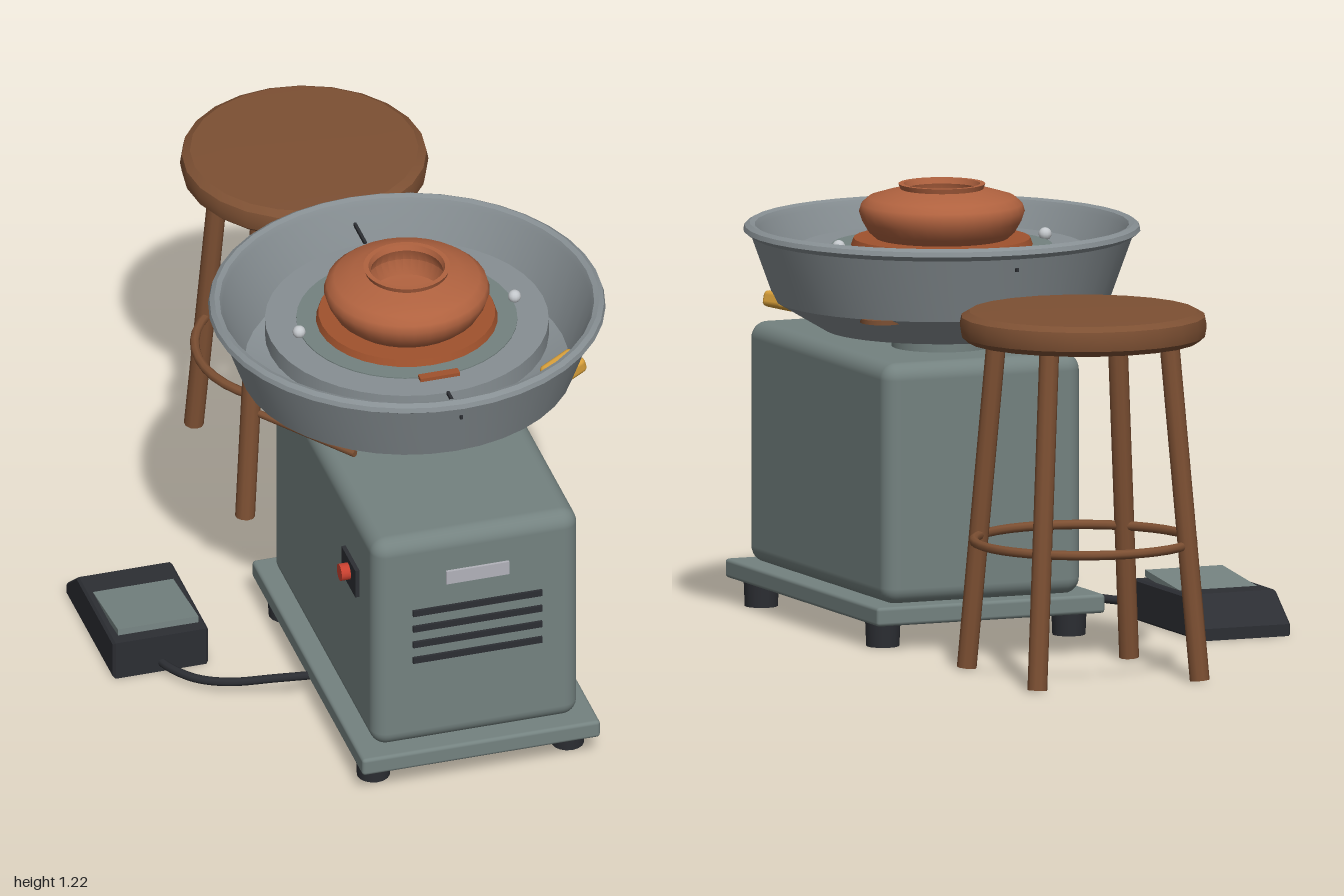
import * as THREE from 'three';
import { RoundedBoxGeometry } from 'three/addons/geometries/RoundedBoxGeometry.js';
import { toCreasedNormals } from 'three/addons/utils/BufferGeometryUtils.js';

const mat = (color) => new THREE.MeshStandardMaterial({ color });
const M = {
  body: mat(0x748280), pan: mat(0x878f93), wood: mat(0x7d5033), clay: mat(0xb0623f), slip: mat(0xa0522d),
  dark: mat(0x2c2e33), plate: mat(0xb2b2ba), red: mat(0xc8402f), sponge: mat(0xd9a03a), steel: mat(0xc4c8cc),
};

const CX = 0.134;      // shared centre line of machine and stool
const WZ = 0.298;      // wheel axis
const SZ = -0.663;     // stool axis

function add(parent, name, geometry, material, x = 0, y = 0, z = 0) {
  const mesh = new THREE.Mesh(geometry, material);
  mesh.name = name;
  mesh.position.set(x, y, z);
  parent.add(mesh);
  return mesh;
}

const box = (w, h, d) => new THREE.BoxGeometry(w, h, d);
const cyl = (rTop, rBottom, h, n = 24) => new THREE.CylinderGeometry(rTop, rBottom, h, n);
const lathe = (points, n, crease = 0.5) =>
  toCreasedNormals(new THREE.LatheGeometry(points.map(([r, y]) => new THREE.Vector2(r, y)), n), crease);

// Round rod between two points
function rod(parent, name, a, b, radius, sides, material) {
  const dir = b.clone().sub(a);
  const mesh = add(parent, name, cyl(radius, radius, dir.length(), sides), material);
  mesh.position.copy(a).add(b).multiplyScalar(0.5);
  mesh.quaternion.setFromUnitVectors(new THREE.Vector3(0, 1, 0), dir.normalize());
  return mesh;
}

function buildCabinet() {
  const g = new THREE.Group();
  g.name = 'cabinet';
  add(g, 'housing', new RoundedBoxGeometry(0.584, 0.66, 0.954, 4, 0.045), M.body, CX, 0.446, 0.48);
  add(g, 'basePlate', new RoundedBoxGeometry(0.674, 0.052, 1.04, 2, 0.01), M.body, CX, 0.094, 0.48);
  for (const sx of [-1, 1]) for (const sz of [-1, 1])
    add(g, 'rubberFoot', cyl(0.048, 0.045, 0.07, 16), M.dark, CX + sx * 0.275, 0.035, 0.48 + sz * 0.413);

  // Front vents and blank plate
  for (let i = 0; i < 4; i++) add(g, 'ventSlot', box(0.366, 0.018, 0.016), M.dark, CX, 0.391 + i * 0.0505, 0.957);
  add(g, 'frontPlate', box(0.178, 0.04, 0.016), M.plate, CX, 0.642, 0.957);

  // Side switch
  add(g, 'switchPlate', box(0.02, 0.085, 0.13), M.dark, -0.16, 0.573, 0.756);
  add(g, 'switchButton', cyl(0.024, 0.024, 0.035, 16), M.red, -0.178, 0.576, 0.756).rotation.z = Math.PI / 2;
  return g;
}

function buildWheel() {
  const g = new THREE.Group();
  g.name = 'wheel';
  g.position.set(CX, 0, WZ);
  add(g, 'shaft', cyl(0.137, 0.137, 0.24, 32), M.body, 0, 0.88, 0);

  // Splash pan with rolled lip
  add(g, 'splashPan', lathe([[0, 0.825], [0.32, 0.825], [0.455, 0.905], [0.518, 1.08], [0.539, 1.094],
    [0.535, 1.107], [0.522, 1.115], [0.508, 1.11], [0.5, 1.095], [0.44, 0.915], [0.312, 0.84], [0, 0.84]], 40), M.pan);

  // Wheel head, inset ring and bat pins
  add(g, 'wheelHead', cyl(0.385, 0.385, 0.05, 40), M.pan, 0, 1.025, 0);
  add(g, 'headInset', cyl(0.3, 0.3, 0.02, 40), M.body, 0, 1.043, 0);
  for (const s of [-1, 1]) {
    add(g, 'batPin', new THREE.SphereGeometry(0.018, 12, 8), M.steel, s * 0.305, 1.064, 0);
    add(g, 'panClip', box(0.008, 0.01, 0.13), M.dark, 0, 1.05, s * 0.45);
  }

  // Thrown pot on its slip ring
  add(g, 'slipRing', cyl(0.24, 0.247, 0.02, 32), M.slip, 0, 1.062, 0);
  add(g, 'clayPot', lathe([[0, 1.068], [0.175, 1.068], [0.2, 1.09], [0.216, 1.118], [0.225, 1.145], [0.219, 1.165],
    [0.198, 1.183], [0.15, 1.197], [0.113, 1.206], [0.118, 1.22], [0.104, 1.22], [0.098, 1.205],
    [0.11, 1.17], [0.095, 1.13], [0, 1.12]], 32, 0.7), M.clay);

  // Loose tools in the pan
  add(g, 'woodRib', box(0.112, 0.012, 0.025), M.slip, 0, 1.054, 0.302);
  rod(g, 'woodenTool', new THREE.Vector3(-0.45, 0.895, 0.11), new THREE.Vector3(-0.26, 0.895, 0.375), 0.01, 8, M.wood);
  add(g, 'roundRib', cyl(0.06, 0.06, 0.012, 20), M.wood, 0.3, 0.9, -0.285);
  add(g, 'sponge', new RoundedBoxGeometry(0.11, 0.045, 0.08, 2, 0.014), M.sponge, 0.4, 0.9, 0.142).rotation.set(0, 0.35, 0.25);
  return g;
}

function buildPedal() {
  const g = new THREE.Group();
  g.name = 'footPedal';
  // Side profile in (z, y), extruded across x
  const side = new THREE.Shape();
  [[0.236, 0.006], [0.236, 0.108], [-0.1, 0.108], [-0.198, 0.03], [-0.198, 0.006]]
    .forEach(([z, y], i) => (i ? side.lineTo(-z, y) : side.moveTo(-z, y)));
  const geo = new THREE.ExtrudeGeometry(side, {
    depth: 0.256, bevelEnabled: true, bevelSize: 0.006, bevelThickness: 0.007, bevelSegments: 1,
  });
  geo.translate(0, 0, -0.128).rotateY(Math.PI / 2);
  add(g, 'pedalBody', geo, M.dark, -0.545, 0, 0);
  add(g, 'treadPlate', box(0.228, 0.018, 0.238), M.body, -0.545, 0.118, 0.098).rotation.x = -0.11;

  const path = new THREE.CatmullRomCurve3([[-0.55, 0.028, 0.2], [-0.535, 0.028, 0.26], [-0.48, 0.03, 0.345],
    [-0.4, 0.037, 0.4], [-0.28, 0.058, 0.45], [-0.16, 0.08, 0.5]].map((p) => new THREE.Vector3(...p)));
  add(g, 'cable', new THREE.TubeGeometry(path, 32, 0.012, 8), M.dark);
  return g;
}

function buildStool() {
  const g = new THREE.Group();
  g.name = 'stool';
  g.position.set(CX, 0, SZ);
  add(g, 'seat', lathe([[0, 0.917], [0.315, 0.917], [0.332, 0.932], [0.337, 0.96], [0.332, 0.985],
    [0.31, 0.998], [0.2, 1.001], [0, 1.002]], 24), M.wood);
  for (const sx of [-1, 1]) for (const sz of [-1, 1])
    rod(g, 'stoolLeg', new THREE.Vector3(sx * 0.24, 0.004, sz * 0.24),
      new THREE.Vector3(sx * 0.177, 0.93, sz * 0.177), 0.027, 10, M.wood);
  add(g, 'footRing', new THREE.TorusGeometry(0.297, 0.013, 8, 40), M.wood, 0, 0.37, 0).rotation.x = Math.PI / 2;
  return g;
}

export function createModel() {
  const model = new THREE.Group();
  model.name = 'potteryWheelWithStool';
  model.add(buildCabinet(), buildWheel(), buildPedal(), buildStool());
  return model;
}
